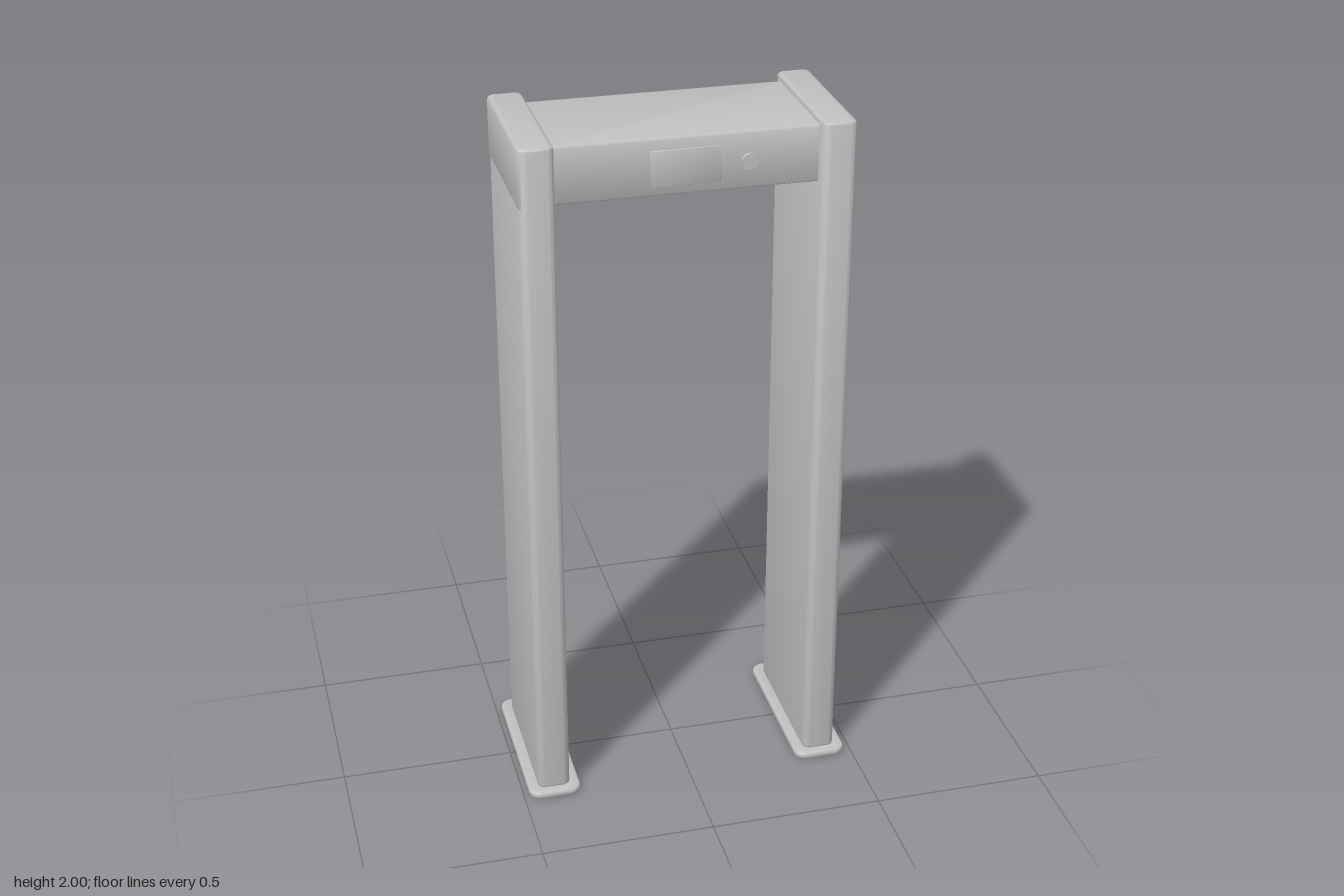
import * as THREE from 'three';
import { toCreasedNormals } from 'three/addons/utils/BufferGeometryUtils.js';

const grey = new THREE.MeshStandardMaterial({ color: 0xc0c0c0 });
grey.name = 'light grey';

function add(parent, name, geometry, x, y, z) {
  const mesh = new THREE.Mesh(geometry, grey);
  mesh.name = name;
  mesh.position.set(x, y, z);
  parent.add(mesh);
  return mesh;
}

// Rounded rectangle in plan
function roundedRect(w, d, r) {
  const s = new THREE.Shape(), x = w / 2, y = d / 2;
  s.absarc(x - r, y - r, r, 0, Math.PI / 2);
  s.absarc(-x + r, y - r, r, Math.PI / 2, Math.PI);
  s.absarc(-x + r, -y + r, r, Math.PI, Math.PI * 1.5);
  s.absarc(x - r, -y + r, r, Math.PI * 1.5, Math.PI * 2);
  s.closePath();
  return s;
}

// Upright prism standing on y = 0 with softened top and bottom rims
function prism(shape, height, bevel) {
  const g = new THREE.ExtrudeGeometry(shape, {
    depth: height - 2 * bevel, bevelThickness: bevel, bevelSize: bevel,
    bevelOffset: -bevel, bevelSegments: 4, curveSegments: 8,
  });
  g.translate(0, 0, bevel);
  g.rotateX(-Math.PI / 2);
  return toCreasedNormals(g, 0.6);
}

// Beam plan with small concave fillets where it meets the posts
function beamPlan(halfLength, halfDepth, r) {
  const s = new THREE.Shape(), x = halfLength, y = halfDepth, q = Math.PI / 2;
  s.moveTo(x, -y - r);
  s.lineTo(x, y + r);
  s.absarc(x - r, y + r, r, 0, -q, true);
  s.absarc(-x + r, y + r, r, -q, -2 * q, true);
  s.lineTo(-x, -y - r);
  s.absarc(-x + r, -y - r, r, 2 * q, q, true);
  s.absarc(x - r, -y - r, r, q, 0, true);
  return s;
}

export function createModel() {
  const model = new THREE.Group();
  model.name = 'walkThroughGate';

  // Side posts on rounded foot plates
  for (const [side, x] of [['right', -0.408], ['left', 0.4035]]) {
    add(model, side + 'Post', prism(roundedRect(0.095, 0.449, 0.022), 1.985, 0.011), x, 0.015, 0);
    add(model, side + 'FootPlate', prism(roundedRect(0.153, 0.508, 0.035), 0.021, 0.007), x, 0, -0.002);
  }

  // Sleeve over the top of one post, set slightly to the back and outside
  add(model, 'postCap', prism(roundedRect(0.097, 0.45, 0.022), 0.17, 0.01), -0.4095, 1.83, -0.003);

  // Overhead beam
  add(model, 'beam', prism(beamPlan(0.37, 0.183, 0.012), 0.16, 0.008), -0.002, 1.825, 0);

  // Display panel on the front of the beam
  const panel = prism(roundedRect(0.19, 0.1, 0.004), 0.007, 0.002);
  panel.rotateX(Math.PI / 2);
  add(model, 'displayPanel', panel, -0.007, 1.902, 0.18);

  // Round button beside the panel
  const button = new THREE.CylinderGeometry(0.022, 0.022, 0.02, 32);
  button.rotateX(Math.PI / 2);
  add(model, 'button', button, 0.165, 1.902, 0.185);

  return model;
}
